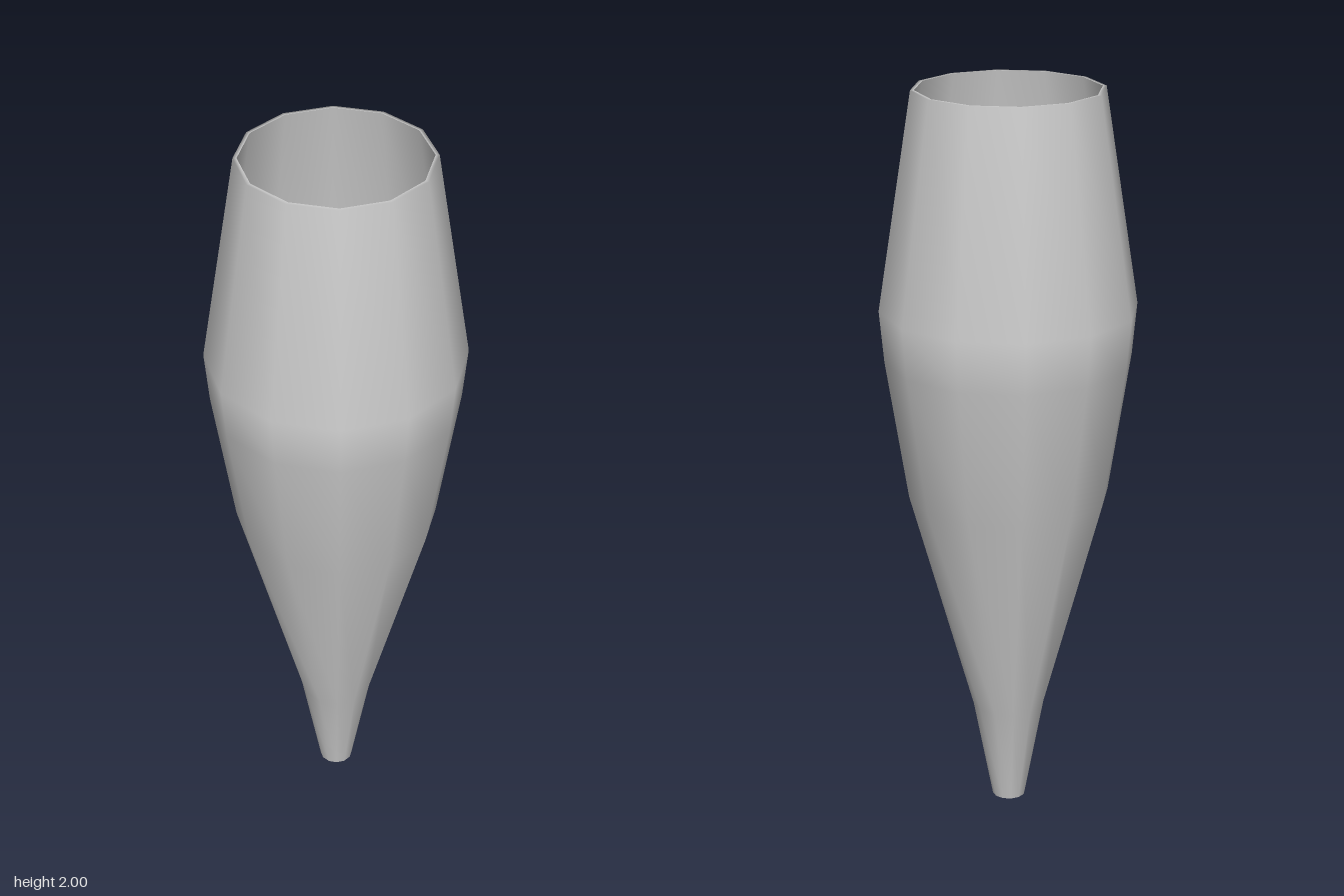
import * as THREE from 'three';

const SIDES = 12;

// Outer wall, bottom to top: [radius, height]
const OUTER = [[0.045, 0], [0.098, 0.28], [0.27, 0.9], [0.33, 1.28], [0.343, 1.42], [0.253, 2]];
// Inner wall, top to bottom
const INNER = [[0.243, 2], [0.333, 1.42], [0.32, 1.28], [0.26, 0.9], [0.091, 0.28], [0.042, 0]];

function lathe(name, profile, material) {
  const points = profile.map(([r, y]) => new THREE.Vector2(r, y));
  const mesh = new THREE.Mesh(new THREE.LatheGeometry(points, SIDES), material);
  mesh.name = name;
  return mesh;
}

export function createModel() {
  const group = new THREE.Group();
  group.name = 'taperedNozzle';
  const material = new THREE.MeshStandardMaterial({ color: 0xcccccc });

  // Outer shell, carried over the top rim with smooth shading
  group.add(lathe('outerShell', [...OUTER, INNER[0]], material));

  // Inner lining, open at both ends
  group.add(lathe('innerLining', INNER, material));

  // Thin ring closing the wall at the narrow lower end
  group.add(lathe('lowerRim', [INNER[INNER.length - 1], OUTER[0]], material));

  return group;
}
